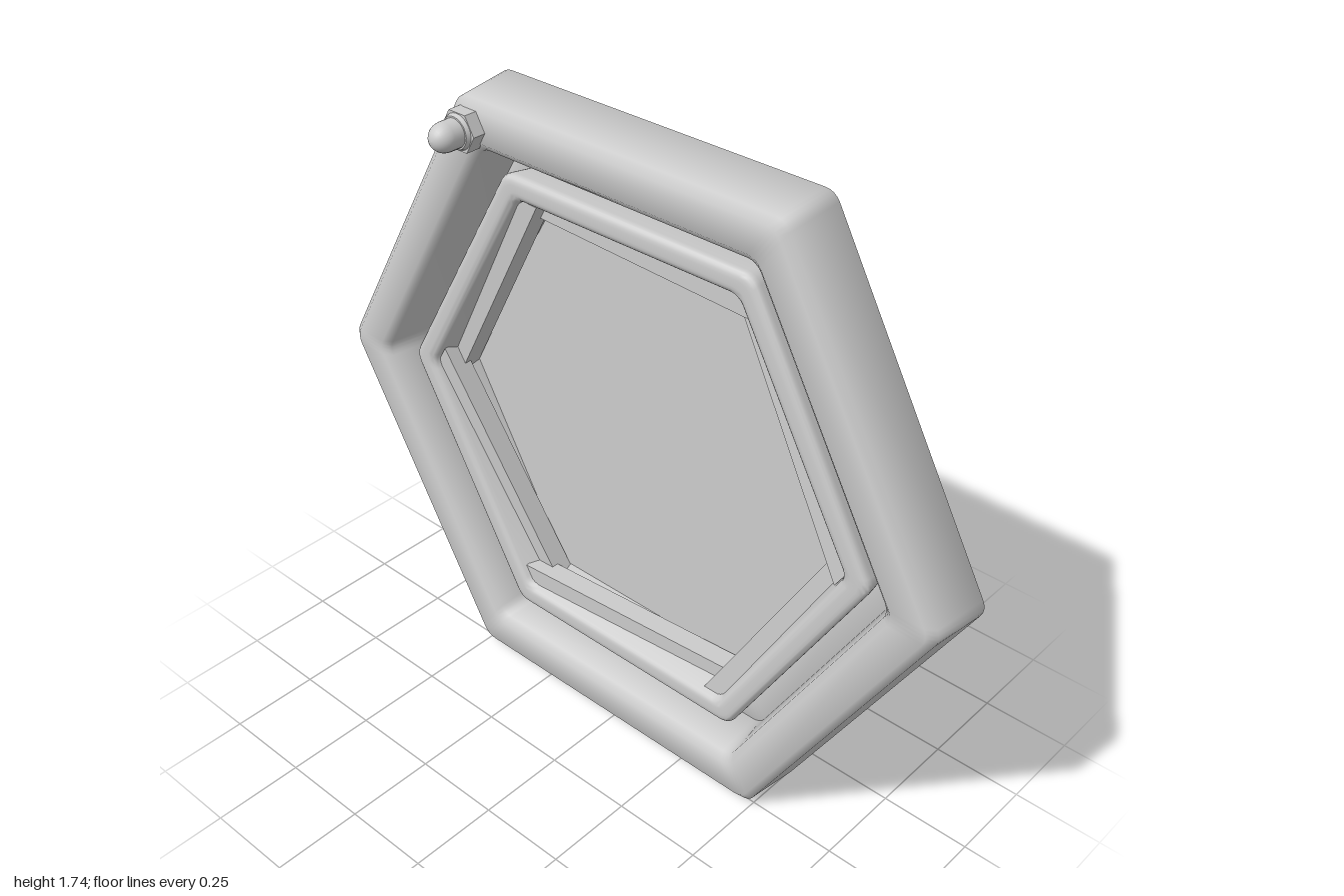
import * as THREE from 'three';
import { toCreasedNormals } from 'three/addons/utils/BufferGeometryUtils.js';

const material = new THREE.MeshStandardMaterial({ color: 0xcccccc });
const CENTER_Y = 0.873;

function addMesh(parent, name, geometry) {
  const mesh = new THREE.Mesh(geometry, material);
  mesh.name = name;
  parent.add(mesh);
  return mesh;
}

// Outline of a hexagon (points on ±x) with softly rounded corners
function hexOutline(apothem, radius = 0.045, steps = 4) {
  const points = [];
  const reach = (apothem - radius) / Math.cos(Math.PI / 6);
  for (let c = 0; c < 6; c++) {
    const corner = c * Math.PI / 3;
    for (let s = 0; s <= steps; s++) {
      const a = corner + (s / steps - 0.5) * Math.PI / 3;
      points.push([
        reach * Math.cos(corner) + radius * Math.cos(a),
        reach * Math.sin(corner) + radius * Math.sin(a),
      ]);
    }
  }
  return points;
}

// Rounds each corner [apothem, z, radius] of a counter-clockwise profile
function roundProfile(corners, steps) {
  const out = [];
  corners.forEach(([x, y, r], i) => {
    const p = new THREE.Vector2(x, y);
    const toward = (q) => new THREE.Vector2(q[0], q[1]).sub(p).setLength(r).add(p);
    const prev = corners[(i + corners.length - 1) % corners.length];
    const next = corners[(i + 1) % corners.length];
    const curve = new THREE.QuadraticBezierCurve(toward(prev), p, toward(next));
    out.push(...curve.getPoints(steps));
  });
  return out;
}

// Sweeps a profile around the hexagon; one step gives a chamfer, more a round
function hexRing(corners, steps) {
  const loops = roundProfile(corners, steps).map((p) => hexOutline(p.x).map(([x, y]) => [x, y, p.y]));
  const count = loops[0].length;
  const index = [];
  for (let v = 0; v < loops.length; v++) {
    const v1 = (v + 1) % loops.length;
    for (let u = 0; u < count; u++) {
      const u1 = (u + 1) % count;
      const a = v * count + u, b = v * count + u1;
      const c = v1 * count + u1, d = v1 * count + u;
      index.push(a, b, c, a, c, d);
    }
  }
  const geometry = new THREE.BufferGeometry();
  geometry.setAttribute('position', new THREE.Float32BufferAttribute(loops.flat(2), 3));
  geometry.setIndex(index);
  return toCreasedNormals(geometry, 1.1);
}

function prism(points, depth) {
  const shape = new THREE.Shape(points.map(([x, y]) => new THREE.Vector2(x, y)));
  return new THREE.ExtrudeGeometry(shape, { depth, bevelEnabled: false });
}

export function createModel() {
  const model = new THREE.Group();
  model.name = 'hexagonalWindow';
  const body = new THREE.Group();
  body.name = 'windowBody';
  body.position.y = CENTER_Y;
  model.add(body);

  // Heavy outer frame, tapering slightly toward the front
  addMesh(body, 'outerFrame', hexRing([
    [0.873, -0.155, 0.015], [0.855, 0.035, 0.018],
    [0.737, 0.035, 0.018], [0.717, -0.155, 0.02],
  ], 1));

  // Flat web between the frame and the glazing ring
  addMesh(body, 'recessedWeb', hexRing([
    [0.75, -0.135, 0.003], [0.75, -0.12, 0.003],
    [0.62, -0.12, 0.003], [0.62, -0.135, 0.003],
  ], 1));

  // Rounded ring holding the pane
  addMesh(body, 'glazingRing', hexRing([
    [0.655, -0.155, 0.03], [0.675, -0.01, 0.025],
    [0.612, -0.01, 0.02], [0.565, -0.155, 0.025],
  ], 5));

  // Pane
  const pane = addMesh(body, 'pane', prism(hexOutline(0.59), 0.012));
  pane.position.z = -0.147;

  // Retaining strips in a pinwheel: each one's raised end laps over the next
  const strips = new THREE.Group();
  strips.name = 'retainingStrips';
  body.add(strips);
  const stripOutline = [[-0.38, -0.032], [0.38, -0.032], [0.348, 0.028], [-0.348, 0.028]];
  for (let i = 0; i < 6; i++) {
    const pivot = new THREE.Group();
    pivot.name = 'stripPivot';
    pivot.rotation.z = i * Math.PI / 3;
    strips.add(pivot);
    const strip = addMesh(pivot, 'retainingStrip', prism(stripOutline, 0.06));
    strip.position.set(0, 0.583, -0.112);
    strip.rotation.set(0, -0.062, 0.008);
  }

  // Domed bolt on the upper corner of the frame
  const bolt = new THREE.Group();
  bolt.name = 'bolt';
  bolt.position.set(-0.45, 1.66, 0);
  bolt.rotation.x = Math.PI / 2;
  model.add(bolt);
  const nut = addMesh(bolt, 'hexNut',
    toCreasedNormals(new THREE.CylinderGeometry(0.056, 0.056, 0.042, 6), 0.5));
  nut.position.y = 0.05;
  nut.rotation.y = Math.PI / 6;
  const collar = addMesh(bolt, 'collar', new THREE.CylinderGeometry(0.042, 0.047, 0.012, 24));
  collar.position.y = 0.076;
  const dome = [[0.038, 0.07], [0.038, 0.112]];
  for (let i = 1; i <= 8; i++) {
    const a = i / 8 * Math.PI / 2;
    dome.push([Math.max(0, 0.038 * Math.cos(a)), 0.112 + 0.043 * Math.sin(a)]);
  }
  addMesh(bolt, 'domedCap',
    new THREE.LatheGeometry(dome.map(([r, y]) => new THREE.Vector2(r, y)), 24));

  return model;
}
